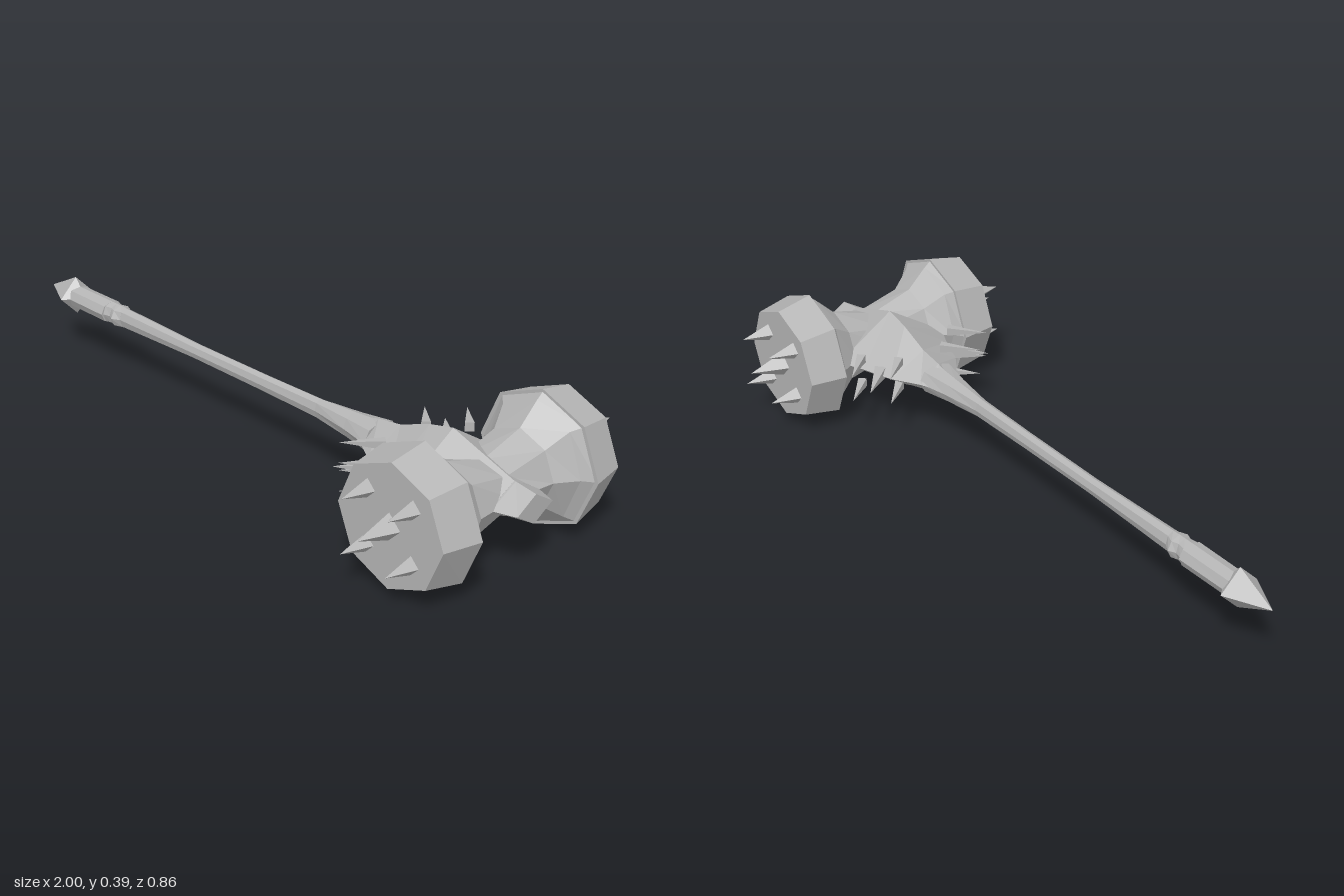
import * as THREE from 'three';

const CY = 0.195; // height of the weapon's long axis
const HX = 0.803; // x of the striking head's axis

// Skin elliptical rings [t, a, b, offset] along x (a = y, b = z) or z (a = x, b = y)
function loft(rings, sides, axis, turn = 0) {
  const pos = [];
  const point = (r, j) => {
    const [t, a, b, off = 0] = r;
    const q = turn + (j / sides) * Math.PI * 2;
    const u = a * Math.cos(q), v = b * Math.sin(q);
    return axis === 'x' ? [t, u, v] : [u + off, v, t];
  };
  const centre = (r) => (axis === 'x' ? [r[0], 0, 0] : [r[3] || 0, 0, r[0]]);
  const last = rings[rings.length - 1];
  for (let j = 0; j < sides; j++) {
    pos.push(...centre(rings[0]), ...point(rings[0], j + 1), ...point(rings[0], j));
    pos.push(...centre(last), ...point(last, j), ...point(last, j + 1));
    for (let i = 0; i < rings.length - 1; i++) {
      const p = point(rings[i], j), q = point(rings[i], j + 1);
      const r = point(rings[i + 1], j + 1), s = point(rings[i + 1], j);
      pos.push(...p, ...q, ...r, ...p, ...r, ...s);
    }
  }
  const g = new THREE.BufferGeometry();
  g.setAttribute('position', new THREE.Float32BufferAttribute(pos, 3));
  g.computeVertexNormals();
  return g;
}

export function createModel() {
  const model = new THREE.Group();
  model.name = 'warHammer';
  const steel = new THREE.MeshStandardMaterial({ color: 0xb4b4b4, flatShading: true });
  steel.name = 'grey steel';

  const add = (name, geometry, x = 0) => {
    const mesh = new THREE.Mesh(geometry, steel);
    mesh.name = name;
    mesh.position.set(x, CY, 0);
    model.add(mesh);
    return mesh;
  };

  // Four-sided spike from a base point along a direction
  const spike = (name, base, dir, length, radius) => {
    const g = new THREE.ConeGeometry(radius, length, 4);
    g.translate(0, length / 2, 0);
    const mesh = add(name, g);
    mesh.position.set(base[0], CY + base[1], base[2]);
    mesh.quaternion.setFromUnitVectors(
      new THREE.Vector3(0, 1, 0), new THREE.Vector3(...dir).normalize());
  };

  // Pommel, grip and shaft
  add('pommel', loft([[-1, 0.001, 0.001], [-0.88, 0.06, 0.06], [-0.855, 0.03, 0.03]], 4, 'x'));
  add('grip', loft([[-0.87, 0.034, 0.038], [-0.7, 0.034, 0.04]], 8, 'x'));
  add('gripCollar', loft([[-0.7, 0.034, 0.034], [-0.675, 0.034, 0.028],
    [-0.655, 0.034, 0.038], [-0.63, 0.033, 0.024]], 8, 'x'));
  add('shaft', loft([[-0.64, 0.033, 0.024], [-0.3, 0.024, 0.019], [0, 0.026, 0.019],
    [0.22, 0.03, 0.021], [0.35, 0.038, 0.04], [0.45, 0.046, 0.062]], 8, 'x'));

  // Flared diamond neck running into the head
  add('neck', loft([[0.38, 0.035, 0.04], [0.44, 0.05, 0.065], [0.52, 0.062, 0.115],
    [0.62, 0.1, 0.15], [0.7, 0.119, 0.185], [0.905, 0.05, 0.09]], 4, 'x'));

  // Narrow waist of the head
  const half = [[0.22, 0.19, 0.19, 0], [0.195, 0.155, 0.17, 0], [0.135, 0.118, 0.112, 0]];
  const mirrored = half.map(([t, a, b, o]) => [-t, a, b, o]);
  add('waist', loft([...mirrored, [0, 0.105, 0.07, 0], ...half.slice().reverse()], 8, 'z'), HX);

  // Diamond boss on the end of the head
  add('endBoss', loft([[0.88, 0.05, 0.09], [0.91, 0.05, 0.088], [0.975, 0.041, 0.065]], 4, 'x'));

  for (const side of [1, -1]) {
    const label = side > 0 ? 'front' : 'back';

    // Octagonal striking drum
    const drum = [[0.215, 0.195, 0.194], [0.325, 0.175, 0.172, -0.004]];
    const rings = drum.map(([t, a, b, o]) => [t * side, a, b, o]);
    add(label + 'Drum', loft(side > 0 ? rings : rings.reverse(), 8, 'z'), HX);

    // One long spike amid four short ones
    spike(label + 'CentreSpike', [0.797, 0, side * 0.32], [0, 0, side], 0.112, 0.04);
    for (const dx of [-0.075, 0.075]) {
      for (const dy of [-0.075, 0.075]) {
        spike(label + 'FaceSpike', [0.797 + dx, dy, side * 0.32], [0, 0, side], 0.092, 0.028);
      }
    }

    // Slanted cluster of spikes on the neck
    spike(label + 'NeckCentreSpike', [0.58, 0, side * 0.115], [-1, 0, side], 0.135, 0.024);
    for (const d of [-0.04, 0.04]) {
      for (const dy of [-0.04, 0.04]) {
        spike(label + 'NeckSpike', [0.58 + d, dy, side * (0.115 + d)], [-1, 0, side], 0.12, 0.018);
      }
    }
  }
  return model;
}
